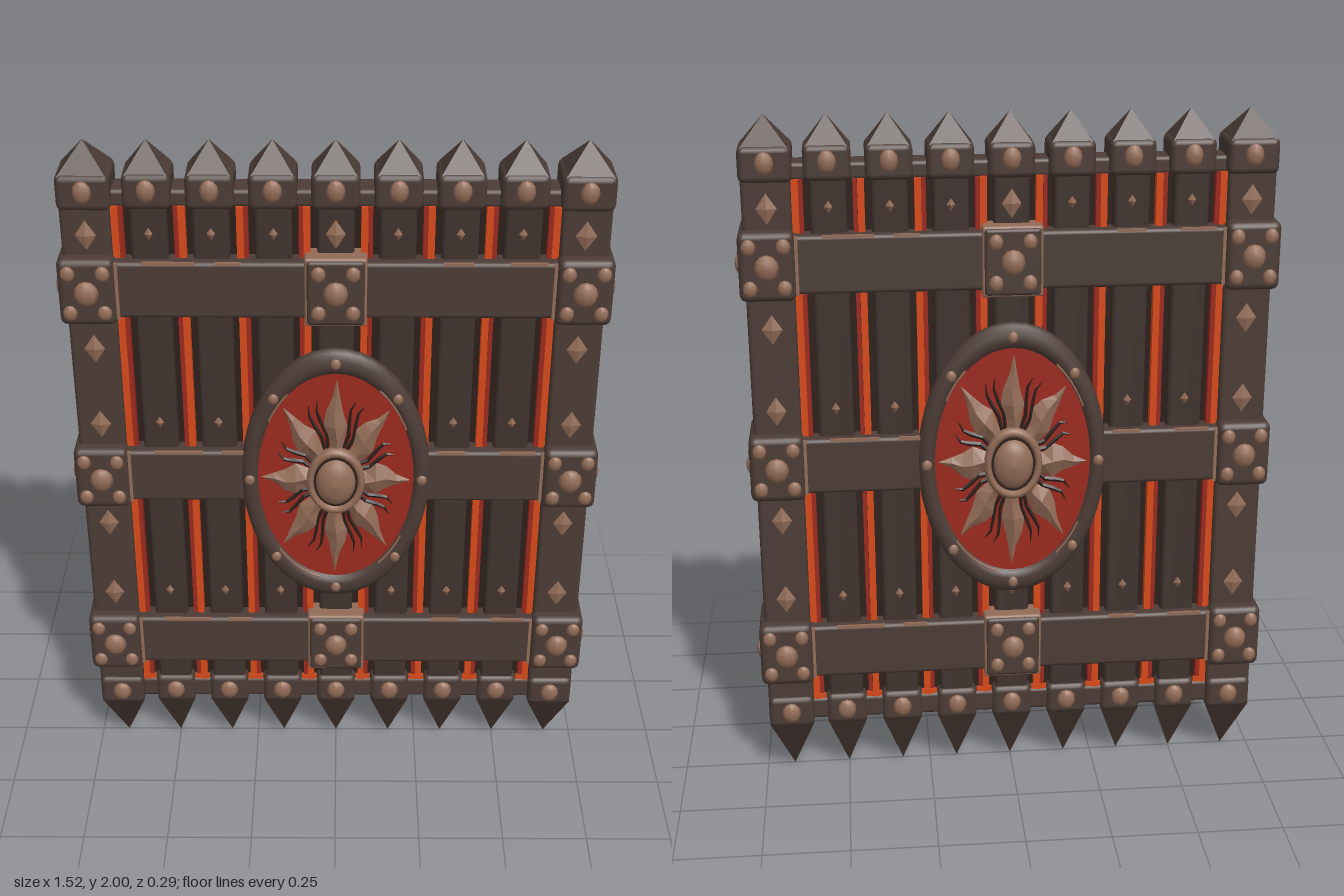
import * as THREE from 'three';
import { RoundedBoxGeometry } from 'three/addons/geometries/RoundedBoxGeometry.js';

const material = (name, color) => {
  const m = new THREE.MeshStandardMaterial({ color });
  m.name = name;
  return m;
};

export function createModel() {
  const wood = material('dark post', 0x40332e);
  const iron = material('brown iron', 0x4c3c36);
  const bronze = material('bronze', 0x936c57);
  const red = material('red enamel', 0x9c2a1e);
  const ember = material('ember orange', 0xd84a1a);
  const shade = material('deep brown', 0x2e1f1b);
  const gate = new THREE.Group();
  gate.name = 'gate';

  const add = (parent, name, geometry, mat, x = 0, y = 0, z = 0) => {
    const mesh = new THREE.Mesh(geometry, mat);
    mesh.name = name;
    mesh.position.set(x, y, z);
    parent.add(mesh);
    return mesh;
  };
  const block = (parent, name, w, h, d, mat, x, y, z = 0, r = 0.012) =>
    add(parent, name, new RoundedBoxGeometry(w, h, d, 2, r), mat, x, y, z);
  const plate = (parent, name, w, h, d, mat, x, y, z) =>
    add(parent, name, new THREE.BoxGeometry(w, h, d), mat, x, y, z);

  // four-sided point with a square base, flat shaded
  const pointGeometry = (w, h, d) => {
    const g = new THREE.ConeGeometry(Math.SQRT1_2, 1, 4).rotateY(Math.PI / 4).scale(w, h, d).toNonIndexed();
    g.computeVertexNormals();
    return g;
  };
  const studGeometry = new THREE.SphereGeometry(1, 8, 6);
  const stud = (parent, x, y, z, r, ry = r, rz = r * 0.6) =>
    add(parent, 'stud', studGeometry, bronze, x, y, z).scale.set(r, ry, rz);
  const diamondGeometry = new THREE.OctahedronGeometry(1);
  const diamond = (parent, x, y, z, rx, ry) =>
    add(parent, 'diamondStud', diamondGeometry, bronze, x, y, z).scale.set(rx, ry, 0.01);

  // details shared by the front and the back
  const faces = [0, 1].map((i) => {
    const face = new THREE.Group();
    face.name = i ? 'backDetails' : 'frontDetails';
    face.rotation.y = i * Math.PI;
    gate.add(face);
    return face;
  });

  // posts with caps and spikes
  const spacing = 0.167;
  for (let i = -4; i <= 4; i++) {
    const x = i * spacing;
    const outer = Math.abs(i) === 4;
    const depth = outer ? 0.135 : 0.115;
    const capD = outer ? 0.155 : 0.135;
    const capW = outer ? 0.145 : 0.13;
    block(gate, 'post', outer ? 0.135 : 0.1, 1.68, depth, outer ? iron : wood, x, 1.03);
    block(gate, 'topCap', capW, 0.1, capD, iron, x, 1.875, 0, 0.018);
    add(gate, 'capPoint', pointGeometry(capW - 0.016, 0.08, capD - 0.016), iron, x, 1.96);
    block(gate, 'bottomCap', capW - 0.01, 0.1, capD, iron, x, 0.215, 0, 0.018);
    const spike = add(gate, 'spike', pointGeometry(capW - 0.012, 0.175, capD - 0.015), wood, x, 0.0875);
    spike.rotation.x = Math.PI;
    for (const face of faces) {
      stud(face, x, 1.88, capD / 2, 0.026, 0.032);
      stud(face, x, 0.215, capD / 2, 0.028, 0.032);
      if (outer) {
        for (const y of [1.755, 1.415, 1.175, 0.84, 0.59]) diamond(face, x, y, depth / 2, 0.029, 0.043);
      } else {
        for (const y of [1.755, 1.175, 0.59]) diamond(face, x, y, depth / 2, 0.012, 0.018);
      }
      if (i === 0) diamond(face, x, 1.755, depth / 2, 0.027, 0.042);
    }
  }

  // glowing strips in the gaps between the posts
  block(gate, 'innerPanel', 1.3, 1.62, 0.05, shade, 0, 1.03, 0, 0.005);
  for (let i = -4; i < 4; i++) {
    const x = (i + 0.5) * spacing;
    const side = i % 2 ? 1 : -1;
    for (const face of faces) {
      plate(face, 'emberStrip', 0.019, 1.6, 0.028, ember, x + side * 0.006, 1.03, 0.039);
      plate(face, 'redStrip', 0.012, 1.6, 0.028, red, x - side * 0.01, 1.03, 0.037);
      plate(face, 'emberEdge', 0.045, 0.016, 0.008, ember, x, 0.256, 0.05);
    }
  }
  block(gate, 'lowerRail', 1.36, 0.07, 0.112, iron, 0, 0.215);
  block(gate, 'upperRail', 1.36, 0.05, 0.09, iron, 0, 1.85);

  // crossbars, clamps and their studs
  const clampStuds = (face, x, y) => {
    stud(face, x, y, 0.106, 0.034, 0.037, 0.022);
    for (const sx of [-1, 1]) for (const sy of [-1, 1])
      stud(face, x + sx * 0.047, y + sy * 0.058, 0.105, 0.02, 0.023, 0.012);
  };
  for (const y of [1.6, 1.01, 0.42]) {
    block(gate, 'crossbar', 1.36, 0.165, 0.172, iron, 0, y);
    for (const s of [-1, 1]) {
      const x = s * 0.673;
      block(gate, 'endClamp', 0.155, 0.195, 0.21, iron, x, y, 0, 0.02);
      for (const z of [-0.045, 0.045]) stud(gate, s * 0.75, y, z, 0.012, 0.026, 0.022);
      for (const face of faces) {
        clampStuds(face, x, y);
        plate(face, 'clampEdge', 0.009, 0.165, 0.009, bronze, s * 0.592, y, 0.086);
      }
    }
    // worn upper edge of the bar
    for (const face of faces)
      for (const [x, w] of [[-0.45, 0.14], [-0.29, 0.07], [0.33, 0.08], [0.52, 0.1]])
        plate(face, 'wornEdge', w, 0.008, 0.009, bronze, x, y + 0.079, 0.0815);
    if (y === 1.01) continue;
    block(gate, 'centreClampTrim', 0.17, 0.201, 0.196, bronze, 0, y, 0, 0.008);
    block(gate, 'centreClamp', 0.158, 0.189, 0.21, iron, 0, y, 0, 0.01);
    for (const face of faces) clampStuds(face, 0, y);
  }

  // flame-shaped ray: ridged cross-sections from the boss to the tip
  const rayGeometry = (sections, sway) => {
    const pos = [], index = [];
    sections.forEach(([r, w, h], k) => {
      const c = Math.sin(k * 1.7) * sway;
      pos.push(c - w, r, 0, c, r, h, c + w, r, 0);
      if (!k) return;
      const a = (k - 1) * 3, b = k * 3;
      for (const j of [0, 1]) index.push(a + j, a + j + 1, b + j + 1, a + j, b + j + 1, b + j);
    });
    const g = new THREE.BufferGeometry();
    g.setAttribute('position', new THREE.Float32BufferAttribute(pos, 3));
    g.setIndex(index);
    const flat = g.toNonIndexed();
    flat.computeVertexNormals();
    return flat;
  };
  const bigRay = rayGeometry([[0.05, 0.016, 0.016], [0.085, 0.021, 0.018], [0.115, 0.034, 0.02],
    [0.145, 0.024, 0.015], [0.175, 0.011, 0.009], [0.212, 0.001, 0.002]], 0.004);
  const thinRay = rayGeometry([[0.07, 0.005, 0.005], [0.1, 0.005, 0.005], [0.13, 0.005, 0.004],
    [0.155, 0.0035, 0.004], [0.175, 0.001, 0.002]], 0.006);

  // oval shield with sun emblem on each side
  const stretch = 1.52;
  const lathe = (points, segments) =>
    new THREE.LatheGeometry(points.map(([r, z]) => new THREE.Vector2(r, z)), segments).rotateX(Math.PI / 2);
  const rimGeometry = lathe([[0.264, 0.05], [0.272, 0.075], [0.268, 0.094], [0.254, 0.104], [0.24, 0.104],
    [0.229, 0.1], [0.222, 0.086]], 48);
  const ringGeometry = lathe([[0.081, 0.085], [0.084, 0.108], [0.079, 0.12], [0.071, 0.122], [0.064, 0.116],
    [0.062, 0.105]], 32);
  const domeGeometry = lathe([[0.058, 0.105], [0.056, 0.118], [0.046, 0.13], [0.026, 0.14], [0, 0.144]], 32);
  for (const face of faces) {
    const shield = new THREE.Group();
    shield.name = 'ovalShield';
    shield.position.y = 1.01;
    face.add(shield);
    add(shield, 'shieldRim', rimGeometry, iron).scale.y = stretch;
    add(shield, 'redField', new THREE.CircleGeometry(0.23, 48), red, 0, 0, 0.0905).scale.y = stretch;
    add(shield, 'bossRing', ringGeometry, bronze).scale.y = 1.3;
    add(shield, 'bossDome', domeGeometry, bronze).scale.y = 1.3;
    add(shield, 'bossGroove', new THREE.CircleGeometry(0.066, 32), shade, 0, 0, 0.113).scale.y = 1.3;

    // worn inner edge of the rim
    for (const [start, arc] of [[0.5, 0.5], [2.2, 0.35], [3.9, 0.6], [5.3, 0.4]]) {
      const worn = add(shield, 'wornRim', new THREE.TorusGeometry(0.228, 0.003, 5, 10, arc), bronze, 0, 0, 0.1);
      worn.geometry.rotateZ(start);
      worn.scale.y = stretch;
    }

    const sun = new THREE.Group();
    sun.name = 'sunRays';
    sun.position.z = 0.092;
    sun.scale.y = stretch;
    shield.add(sun);
    for (let i = 0; i < 8; i++) {
      const a = (i * Math.PI) / 4;
      add(sun, 'ray', bigRay, bronze).rotation.z = a;
      add(sun, 'thinRay', thinRay, shade).rotation.z = a + 0.32;
      add(sun, 'thinRay', thinRay, shade).rotation.z = a + 0.47;
      stud(shield, Math.sin(a) * 0.247, Math.cos(a) * 0.247 * stretch, 0.103, 0.015, 0.017, 0.009);
    }
  }
  return gate;
}
